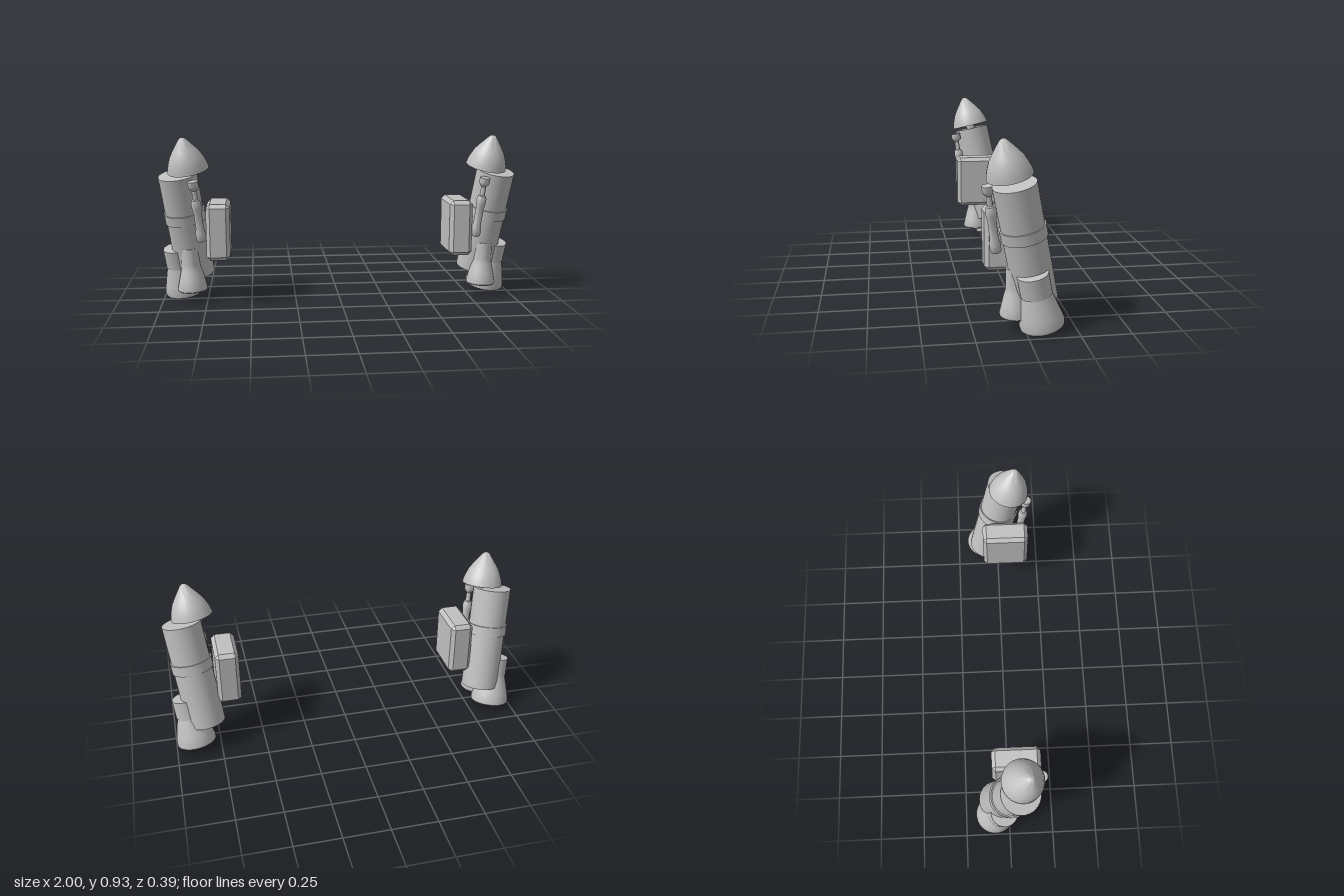
import * as THREE from 'three';
import { toCreasedNormals } from 'three/addons/utils/BufferGeometryUtils.js';
import { ConvexGeometry } from 'three/addons/geometries/ConvexGeometry.js';

const grey = new THREE.MeshStandardMaterial({ color: 0xc0c0c0 });
grey.name = 'light grey';

const UP = new THREE.Vector3(0, 1, 0);
const LEAN = [0.125, 0.97, 0.2]; // shared tilt of the tank and main nozzle

// Turned part: profile of [radius, height], standing at base along dir; side mirrors it in x
function turned(name, profile, base, dir, side) {
  const points = profile.map(([r, h]) => new THREE.Vector2(r, h));
  const geometry = toCreasedNormals(new THREE.LatheGeometry(points, 32), 0.55);
  const mesh = new THREE.Mesh(geometry, grey);
  mesh.name = name;
  mesh.position.set(base[0] * side, base[1], base[2]);
  mesh.quaternion.setFromUnitVectors(UP, new THREE.Vector3(dir[0] * side, dir[1], dir[2]).normalize());
  return mesh;
}

const drum = (r, h) => [[0, 0], [r, 0], [r, h], [0, h]];

// Box with every edge chamfered by c
function chamferedBox(w, h, d, c) {
  const points = [];
  for (const x of [-w / 2, w / 2]) for (const y of [-h / 2, h / 2]) for (const z of [-d / 2, d / 2]) {
    const ix = x - Math.sign(x) * c, iy = y - Math.sign(y) * c, iz = z - Math.sign(z) * c;
    points.push(new THREE.Vector3(x, iy, iz), new THREE.Vector3(ix, y, iz), new THREE.Vector3(ix, iy, z));
  }
  return new ConvexGeometry(points);
}

function booster(name, side) {
  const group = new THREE.Group();
  group.name = name;
  const add = (part, profile, base, dir) => group.add(turned(part, profile, base, dir, side));

  // Tank with its band
  add('tank', drum(0.107, 0.6), [0.82, 0.145, -0.065], LEAN);
  add('tankBand', drum(0.114, 0.057), [0.861, 0.464, 0.001], LEAN);

  // Nose cone on a short stem
  const noseLean = [0.028, 0.18, 0.039];
  add('noseStem', drum(0.027, 0.07), [0.826, 0.7, 0.058], noseLean);
  add('noseCone', [[0, 0], [0.114, 0], [0.109, 0.027], [0.099, 0.055], [0.086, 0.085], [0.066, 0.115],
    [0.044, 0.145], [0.022, 0.174], [0.013, 0.183], [0, 0.187]], [0.834, 0.755, 0.067], noseLean);

  // Main nozzle and its collar
  add('mainNozzle', [[0, 0], [0.104, 0], [0.11, 0.006], [0.111, 0.022], [0.101, 0.065], [0.087, 0.12],
    [0.074, 0.165], [0.068, 0.19], [0, 0.19]], [0.885, 0.029, -0.085], LEAN);
  add('nozzleCollar', drum(0.077, 0.108), [0.907, 0.195, -0.05], LEAN);

  // Small front nozzle
  add('smallNozzle', [[0, 0], [0.077, 0], [0.082, 0.006], [0.083, 0.016], [0.073, 0.06], [0.061, 0.11],
    [0.054, 0.135], [0.053, 0.15], [0.053, 0.245], [0, 0.245]], [0.831, 0.064, 0.034], [0.04, 1, 0]);

  // Slim canister with a capped neck
  add('canister', [[0, 0], [0.024, 0], [0.028, 0.008], [0.028, 0.045], [0.022, 0.075], [0.022, 0.165],
    [0.027, 0.195], [0.027, 0.22], [0.021, 0.236], [0.014, 0.24], [0.014, 0.29], [0.026, 0.305],
    [0.029, 0.315], [0.029, 0.342], [0, 0.342]], [0.768, 0.367, 0.124], [0.037, 0.34, 0.046]);

  // Chamfered pack on the inner side
  const pack = new THREE.Mesh(chamferedBox(0.13, 0.313, 0.266, 0.021), grey);
  pack.name = 'sidePack';
  pack.position.set(0.677 * side, 0.417, 0.043);
  group.add(pack);
  return group;
}

export function createModel() {
  const model = new THREE.Group();
  model.name = 'boosterPair';
  model.add(booster('leftBooster', 1), booster('rightBooster', -1));
  return model;
}
